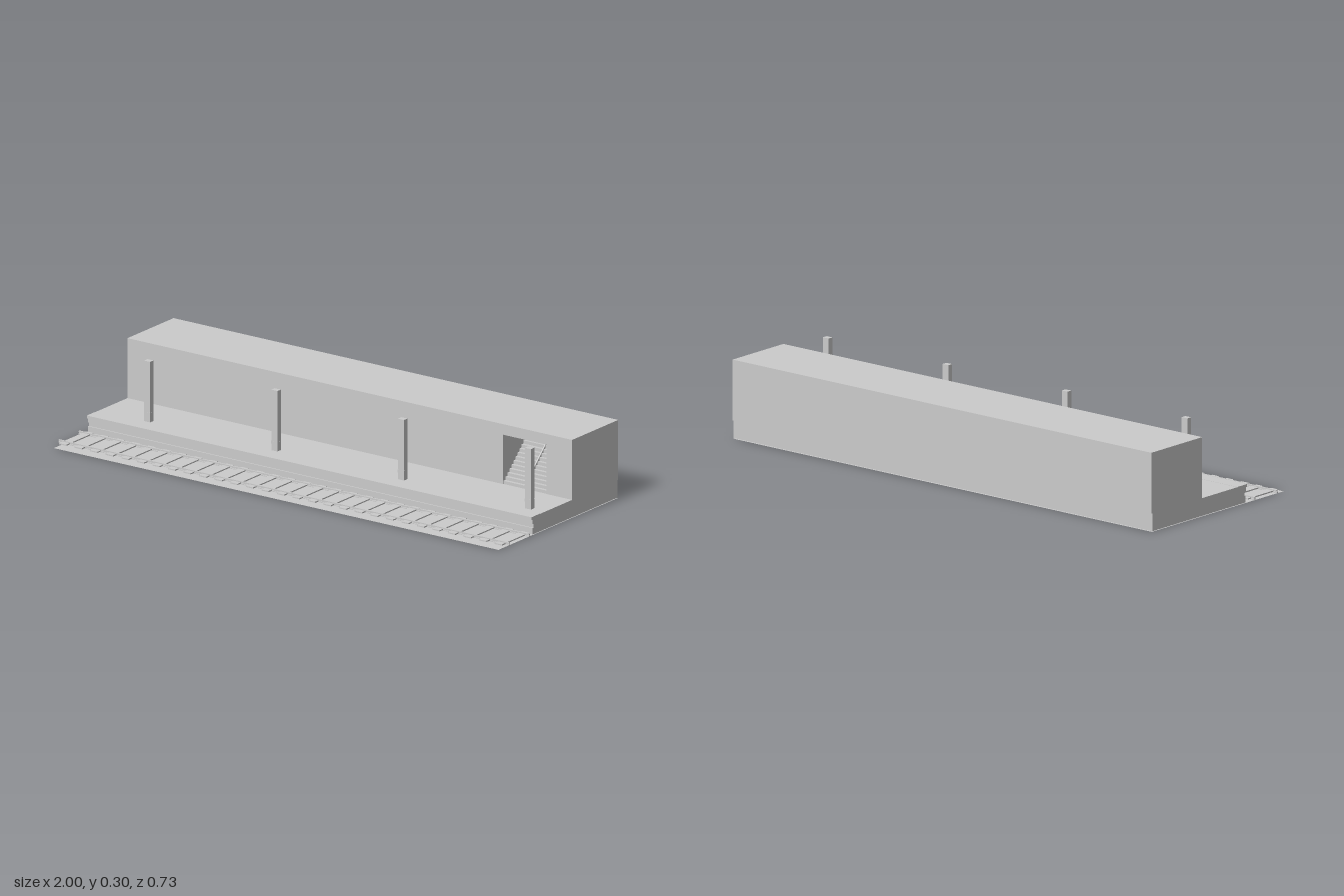
import * as THREE from 'three';

const HALF = 0.987; // half length of platform and building

export function createModel() {
  const root = new THREE.Group();
  const mat = new THREE.MeshStandardMaterial({ color: 0xcccccc, flatShading: true });
  const sheet = new THREE.MeshStandardMaterial({ color: 0xcccccc, side: THREE.DoubleSide });

  const add = (name, geo, parent = root, material = mat) => {
    const m = new THREE.Mesh(geo, material);
    m.name = name;
    parent.add(m);
    return m;
  };
  // Box given by its limits on each axis
  const box = (name, [x0, x1], [y0, y1], [z0, z1], parent) => {
    const m = add(name, new THREE.BoxGeometry(x1 - x0, y1 - y0, z1 - z0), parent);
    m.position.set((x0 + x1) / 2, (y0 + y1) / 2, (z0 + z1) / 2);
    return m;
  };
  // Cross-section of [z, y] points swept along x
  const sweep = (name, pts, x0, x1, parent) => {
    const shape = new THREE.Shape(pts.map(([z, y]) => new THREE.Vector2(-z, y)));
    const geo = new THREE.ExtrudeGeometry(shape, { depth: x1 - x0, bevelEnabled: false });
    geo.rotateY(Math.PI / 2).translate(x0, 0, 0);
    return add(name, geo, parent);
  };

  // Ground sheet
  add('ground', new THREE.PlaneGeometry(2 * HALF, 0.73).rotateX(-Math.PI / 2), root, sheet);

  // Platform with overhanging edge and a groove along its face
  sweep('platform', [
    [-0.363, 0.002], [0.155, 0.002], [0.155, 0.026], [0.15, 0.026], [0.15, 0.041],
    [0.157, 0.041], [0.157, 0.058], [0.163, 0.058], [0.163, 0.069], [0.11, 0.069],
    [0.11, 0.068], [-0.363, 0.068],
  ], -HALF, HALF);

  // Building: front part with doorway recess, solid part behind
  const building = new THREE.Group();
  building.name = 'building';
  root.add(building);
  const [dx0, dx1, dTop] = [0.68, 0.873, 0.255];
  const [floor, roof, zFront, zRecess, zBack] = [0.068, 0.295, -0.086, -0.29, -0.368];
  const front = new THREE.Shape([
    [-HALF, floor], [dx0, floor], [dx0, dTop], [dx1, dTop],
    [dx1, floor], [HALF, floor], [HALF, roof], [-HALF, roof],
  ].map(p => new THREE.Vector2(...p)));
  const frontGeo = new THREE.ExtrudeGeometry(front, { depth: zFront - zRecess, bevelEnabled: false });
  add('frontWall', frontGeo.translate(0, 0, zRecess), building);
  box('rearBlock', [-HALF, HALF], [floor, roof], [zBack, zRecess], building);

  // Staircase inside the recess
  const STEPS = 11, rise = 0.132 / STEPS, run = 0.135 / STEPS;
  const stairs = [[zRecess, floor]];
  const zStart = zFront - 0.002;
  stairs.push([zStart, floor]);
  for (let i = 0; i < STEPS; i++) {
    stairs.push([zStart - i * run, floor + (i + 1) * rise]);
    stairs.push([i === STEPS - 1 ? zRecess : zStart - (i + 1) * run, floor + (i + 1) * rise]);
  }
  sweep('stairs', stairs, dx0, dx1, building);
  // Low divider along the middle of the flight
  const mid = (dx0 + dx1) / 2;
  sweep('stairDivider', [
    [zStart, floor], [zStart, floor + 0.014],
    [zStart - 0.125, floor + 0.136], [zStart - 0.135, floor + 0.13],
  ].reverse(), mid - 0.002, mid + 0.002, building);

  // Platform columns with a collar near the foot
  for (const x of [-0.772, -0.207, 0.355, 0.919]) {
    const column = new THREE.Group();
    column.name = 'column';
    column.position.set(x, 0, 0.08);
    root.add(column);
    box('shaft', [-0.0135, 0.0135], [0.068, 0.297], [-0.0105, 0.0105], column);
    box('collar', [-0.014, 0.014], [0.094, 0.104], [-0.011, 0.011], column);
  }

  // Railway track: sleepers and I-section rails
  const track = new THREE.Group();
  track.name = 'track';
  root.add(track);
  const SLEEPERS = 29;
  for (let i = 0; i < SLEEPERS; i++) {
    const x = -0.967 + (1.934 * i) / (SLEEPERS - 1);
    box('sleeper', [x - 0.016, x + 0.016], [0.008, 0.0125], [0.172, 0.338], track);
  }
  const half = [[0.004, 0.006], [0.004, 0.009], [0.0015, 0.0095], [0.0015, 0.013], [0.003, 0.0135], [0.003, 0.017]];
  const section = [...half, ...half.map(([z, y]) => [-z, y]).reverse()];
  for (const z of [0.192, 0.315]) {
    sweep('rail', section, -1, 1, track).position.z = z;
  }
  return root;
}
